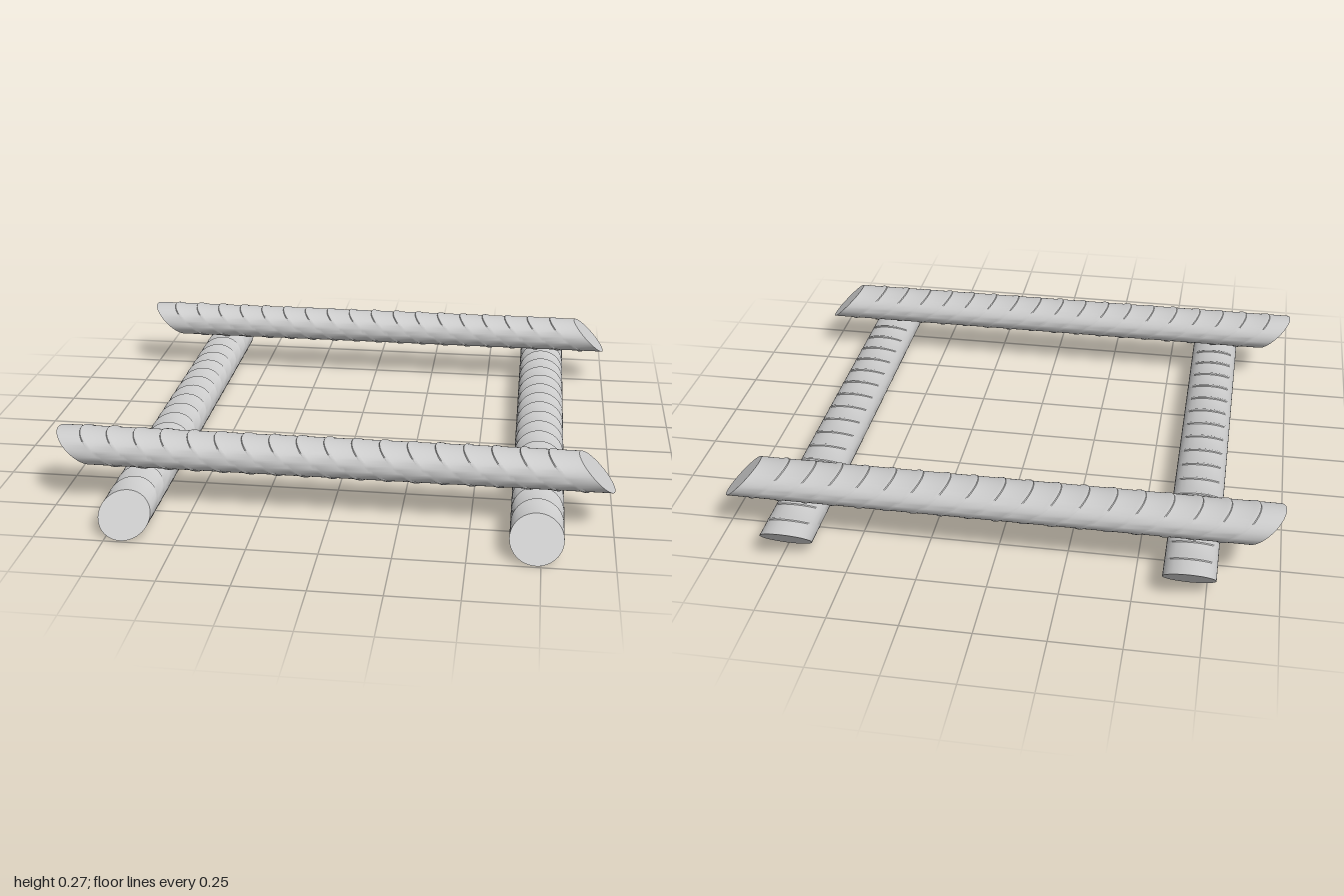
import * as THREE from 'three';
import { toCreasedNormals } from 'three/addons/utils/BufferGeometryUtils.js';

const HALF_LENGTH = 0.933, HALF_WIDTH = 0.0925, HALF_HEIGHT = 0.066;
const RIBS = 18, RIB_SPACING = 0.0985, RIB_HEIGHT = 0.06;

// Ribbed bar along x: oval section, ends and ribs slanted at 45 degrees
function barGeometry() {
  const profile = [new THREE.Vector2(0, -HALF_LENGTH), new THREE.Vector2(1, -HALF_LENGTH)];
  for (let i = 0; i < RIBS; i++) {
    const t = (i - (RIBS - 1) / 2) * RIB_SPACING;
    profile.push(
      new THREE.Vector2(1, t - 0.011),
      new THREE.Vector2(1 + RIB_HEIGHT, t - 0.005),
      new THREE.Vector2(1 + RIB_HEIGHT, t + 0.005),
      new THREE.Vector2(1, t + 0.011)
    );
  }
  profile.push(new THREE.Vector2(1, HALF_LENGTH), new THREE.Vector2(0, HALF_LENGTH));

  const geometry = new THREE.LatheGeometry(profile, 48);
  const p = geometry.attributes.position;
  for (let i = 0; i < p.count; i++) {
    const lx = p.getX(i), t = p.getY(i), lz = p.getZ(i);
    let r = Math.hypot(lx, lz);
    const up = r > 0 ? lx / r : 0, side = r > 0 ? lz / r : 0;
    // ribs are crescents: full height above and below, gone at the sides
    if (r > 1) r = 1 + (r - 1) * Math.max(0, (Math.abs(up) - 0.25) / 0.75);
    const y = up * r * HALF_HEIGHT;
    p.setXYZ(i, t - y, y, -side * r * HALF_WIDTH);
  }
  return toCreasedNormals(geometry, 0.45);
}

export function createModel() {
  const model = new THREE.Group();
  model.name = 'crossedBars';
  const material = new THREE.MeshStandardMaterial({ color: 0xcccccc });
  const geometry = barGeometry();

  const addBar = (name, x, y, z, turn) => {
    const bar = new THREE.Mesh(geometry, material);
    bar.name = name;
    bar.position.set(x, y, z);
    bar.rotation.y = turn;
    model.add(bar);
  };

  // lower bars run front to back
  addBar('lowerBarRight', -0.69, 0.07, 0, -Math.PI / 2);
  addBar('lowerBarLeft', 0.733, 0.07, 0, -Math.PI / 2);
  // upper bars lie across them
  addBar('upperBarFront', 0, 0.205, 0.66, 0);
  addBar('upperBarBack', 0, 0.205, -0.762, 0);
  return model;
}
